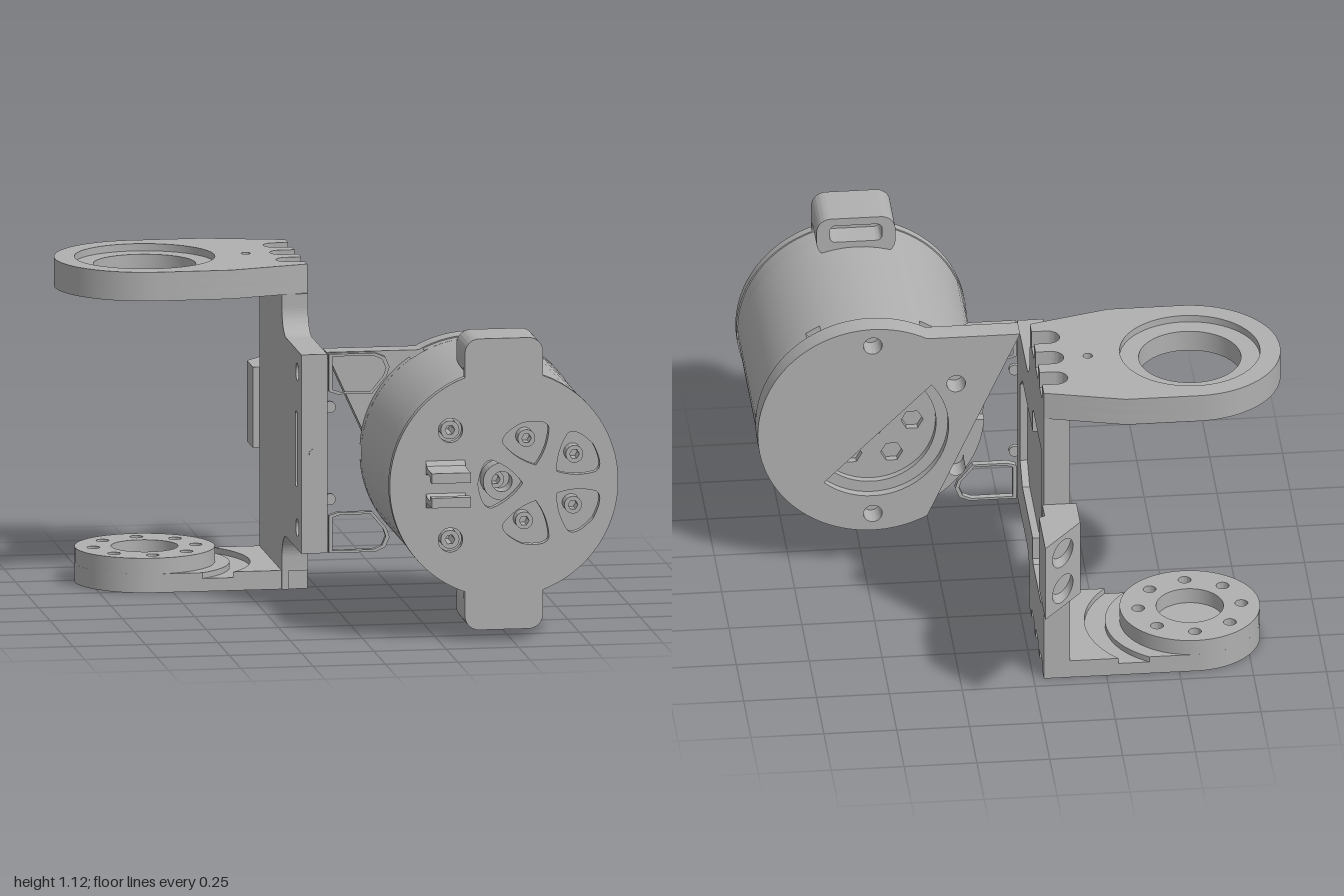
import * as THREE from 'three';
import { toCreasedNormals } from 'three/addons/utils/BufferGeometryUtils.js';

const PI = Math.PI;
const CX = 0.47, CY = 0.55, R = 0.395;   // motor axis and radius
const AX = -0.56, AV = 0.46;             // joint axis (x, -z)
const SLOTS = [0.6, 0.46, 0.32];         // screw slots along the arm ends (-z)

const poly = (pts, C = THREE.Shape) => new C(pts.map(p => new THREE.Vector2(...p)));
const disc = (x, y, r, C = THREE.Path) => new C().absarc(x, y, r, 0, 2 * PI, false);
const hex = (x, y, r) => poly([...Array(6).keys()].map(i =>
  [x + r * Math.cos(i * PI / 3), y + r * Math.sin(i * PI / 3)]), THREE.Path);
const ring = (n, x, y, r, a0, make) => [...Array(n).keys()].map(i =>
  make(x + r * Math.cos(a0 + i * 2 * PI / n), y + r * Math.sin(a0 + i * 2 * PI / n)));

// rectangle with rounded corners
function roundRect(x0, y0, x1, y1, r, C = THREE.Shape) {
  return new C().absarc(x1 - r, y0 + r, r, -PI / 2, 0, false).absarc(x1 - r, y1 - r, r, 0, PI / 2, false)
    .absarc(x0 + r, y1 - r, r, PI / 2, PI, false).absarc(x0 + r, y0 + r, r, PI, 1.5 * PI, false);
}

export function createModel() {
  const model = new THREE.Group();
  const gray = new THREE.MeshStandardMaterial({ color: 0xb0b0b0 });
  gray.name = 'machined gray';

  function add(name, geo, parent = model) {
    const mesh = new THREE.Mesh(toCreasedNormals(geo, 0.5), gray);
    mesh.name = name;
    parent.add(mesh);
    return mesh;
  }
  // extrude a shape from a to b along an axis: z (x,y), x (-z,y) or y (x,-z)
  function slab(name, axis, shape, a, b, holes = [], parent = model) {
    shape.holes.push(...holes);
    const geo = new THREE.ExtrudeGeometry(shape, { depth: b - a, bevelEnabled: false, curveSegments: 32 });
    geo.translate(0, 0, a);
    if (axis === 'x') geo.rotateY(PI / 2);
    if (axis === 'y') geo.rotateX(-PI / 2);
    return add(name, geo, parent);
  }
  const group = name => {
    const g = new THREE.Group();
    g.name = name;
    model.add(g);
    return g;
  };
  // walk down the straight end of an arm, cutting the screw slots
  const cutSlots = s => SLOTS.forEach(v => s.lineTo(-0.035, v + 0.042).lineTo(-0.085, v + 0.042)
    .absarc(-0.085, v, 0.042, PI / 2, 1.5 * PI, false).lineTo(-0.035, v - 0.042));
  const screwHoles = () => SLOTS.map(v => disc(-0.085, v, 0.022));

  // ---- upper arm
  const upper = group('upperArm');
  const upperShape = slots => {
    const s = new THREE.Shape().moveTo(-0.035, 0.225).lineTo(-0.31, 0.15).lineTo(AX, 0.15)
      .absarc(AX, AV, 0.31, -PI / 2, -1.5 * PI, true).lineTo(-0.31, 0.77).lineTo(-0.035, 0.70);
    if (slots) cutSlots(s);
    return s;
  };
  const pin = () => disc(-0.21, AV, 0.016);
  slab('upperArmBase', 'y', upperShape(false), 1.03, 1.07, [disc(AX, AV, 0.175), pin(), ...screwHoles()], upper);
  slab('upperArmMiddle', 'y', upperShape(true), 1.07, 1.105, [disc(AX, AV, 0.175), pin()], upper);
  slab('upperArmRim', 'y', upperShape(true), 1.105, 1.13, [disc(AX, AV, 0.24), pin()], upper);

  // ---- lower arm
  const lower = group('lowerArm');
  const lowerShape = slots => {
    const s = new THREE.Shape().moveTo(-0.035, 0.22).lineTo(AX, 0.22)
      .absarc(AX, AV, 0.24, -PI / 2, -1.5 * PI, true).lineTo(-0.035, 0.70);
    if (slots) cutSlots(s);
    return s;
  };
  slab('lowerArmUnderside', 'y', lowerShape(true), 0.005, 0.04,
    ring(6, AX, AV, 0.17, 0, (x, y) => disc(x, y, 0.03)), lower);
  slab('lowerArmFloor', 'y', lowerShape(false), 0.04, 0.05, [], lower);
  const a1 = Math.asin(0.24 / 0.29), a2 = Math.asin(0.24 / 0.36);
  slab('discSeat', 'y', new THREE.Shape().absarc(AX, AV, 0.29, -a1, a1, false)
    .absarc(AX, AV, 0.24, PI / 2, 1.5 * PI, false), 0.05, 0.07, [], lower);
  slab('lowerArmRoot', 'y', new THREE.Shape().moveTo(-0.035, 0.22).lineTo(-0.035, 0.70)
    .absarc(AX, AV, 0.36, a2, -a2, true), 0.05, 0.07, [], lower);
  slab('jointDisc', 'y', disc(AX, AV, 0.24, THREE.Shape), 0.07, 0.125,
    [disc(AX, AV, 0.115), ...ring(8, AX, AV, 0.177, PI / 2, (x, y) => disc(x, y, 0.022))], lower);

  // ---- upright plate, shallow recess on its outer side
  const plate = group('uprightPlate');
  const plateShape = () => new THREE.Shape().moveTo(0.70, 0.005).lineTo(0.70, 1.03).lineTo(0.21, 1.03)
    .lineTo(0.21, 0.985).absarc(0.12, 0.985, 0.09, 0, -PI / 2, true).lineTo(-0.21, 0.895)
    .lineTo(-0.21, 0.205).lineTo(0.12, 0.205).absarc(0.12, 0.115, 0.09, PI / 2, 0, true).lineTo(0.21, 0.005);
  const outerShape = () => new THREE.Shape().moveTo(0.70, 0.07).lineTo(0.70, 1.03).lineTo(0.21, 1.03)
    .lineTo(0.21, 0.985).absarc(0.12, 0.985, 0.09, 0, -PI / 2, true).lineTo(-0.21, 0.895)
    .lineTo(-0.21, 0.205).lineTo(0.12, 0.205).absarc(0.12, 0.115, 0.09, PI / 2, 0, true).lineTo(0.21, 0.07);
  slab('plateInner', 'x', plateShape(), -0.125, -0.1, [disc(-0.12, 0.28, 0.03), disc(-0.12, 0.82, 0.03),
    roundRect(-0.12, 0.42, -0.08, 0.68, 0.015, THREE.Path)], plate);
  slab('plateCore', 'x', outerShape(), -0.1, -0.06, [], plate);
  slab('plateOuter', 'x', outerShape(), -0.06, -0.035, [poly([[-0.11, 0.4], [-0.03, 0.34], [0.32, 0.34],
    [0.32, 0.26], [0.335, 0.245], [0.605, 0.245], [0.62, 0.26], [0.62, 0.84], [0.605, 0.855], [0.335, 0.855],
    [0.32, 0.84], [0.32, 0.76], [-0.03, 0.76], [-0.11, 0.7]], THREE.Path)], plate);
  slab('edgeScrew', 'z', disc(-0.08, 0.55, 0.018, THREE.Shape), 0.21, 0.213, [], plate);

  // ---- rear connector with a slanted, two-hole face
  const conn = group('rearConnector');
  slab('connectorBody', 'y', poly([[-0.03, 0.70], [-0.03, 0.775], [-0.01, 0.785], [-0.01, 0.936],
    [-0.147, 0.766], [-0.147, 0.70]]), 0.41, 0.69, [], conn);
  const face = new THREE.ExtrudeGeometry(
    Object.assign(poly([[-0.147, 0.41], [-0.01, 0.41], [-0.01, 0.69], [-0.147, 0.69]]), {
      holes: [0.48, 0.62].map(y => new THREE.Path().absellipse(-0.0785, y, 0.04, 0.05, 0, 2 * PI, false, 0)),
    }), { depth: 0.064, bevelEnabled: false, curveSegments: 24 });
  const p = face.attributes.position;
  for (let i = 0; i < p.count; i++) p.setZ(i, p.getZ(i) - 0.83 - 1.24 * (p.getX(i) + 0.147));
  face.computeVertexNormals();
  add('connectorFace', face, conn);

  // ---- motor mount flange
  const mount = group('motorMount');
  const am = Math.atan2(0.348, -0.187);
  slab('flange', 'z', new THREE.Shape().moveTo(-0.035, 0.202).absarc(CX, CY, R, -am, am, false)
    .lineTo(-0.035, 0.898), 0.11, 0.19, [disc(CX, CY, 0.26),
    ...ring(6, CX, CY, 0.33, PI / 6, (x, y) => disc(x, y, 0.032))], mount);
  slab('flangeStep', 'z', disc(CX, CY, 0.262, THREE.Shape), 0.14, 0.165, [disc(CX, CY, 0.22)], mount);
  slab('rotorBack', 'z', disc(CX, CY, 0.262, THREE.Shape), 0.165, 0.19, [hex(CX, CY, 0.055),
    ...ring(6, CX, CY, 0.14, 0, (x, y) => hex(x, y, 0.038))], mount);
  for (const s of [1, -1]) {
    const path = k => poly([[-0.03, 0.345], [0.13, 0.345], [0.165, 0.33], [0.18, 0.295], [0.17, 0.265],
      [0.12, 0.205], [0, 0.205], [-0.03, 0.215]].map(([x, d]) =>
      [0.07 + (x - 0.07) * k, CY + s * (0.275 + (d - 0.275) * k)]), k < 1 ? THREE.Path : THREE.Shape);
    slab('pocketFrame', 'z', path(1), 0.19, 0.212, [path(0.88)], mount);
    slab('smallBoss', 'z', disc(-0.025, CY + s * 0.16, 0.02, THREE.Shape), 0.19, 0.205, [], mount);
  }

  // ---- motor body with a notched collar
  const motor = group('motor');
  const collar = new THREE.Shape();
  for (let i = 0; i < 6; i++) {
    const a = i * PI / 3;
    collar.absarc(CX, CY, 0.34, a - 0.07, a + 0.07, false);
    collar.absarc(CX, CY, R - 0.004, a + 0.07, a + PI / 3 - 0.07, false);
  }
  slab('notchedCollar', 'z', collar, 0.19, 0.228, [], motor);
  slab('motorBody', 'z', disc(CX, CY, R - 0.004, THREE.Shape), 0.228, 0.76, [], motor);
  slab('motorWall', 'z', disc(CX, CY, R - 0.004, THREE.Shape), 0.76, 0.84, [disc(CX, CY, 0.365)], motor);
  slab('rotorHub', 'z', disc(CX, CY, 0.065, THREE.Shape), 0.76, 0.83, [disc(CX, CY, 0.035)], motor);
  ring(5, 0.6, CY, 0.15, 0.6, (x, y) => slab('rotorBolt', 'z', disc(x, y, 0.03, THREE.Shape), 0.76, 0.81,
    [hex(x, y, 0.017)], motor));

  // ---- front cap with ears and petal-shaped vents
  const cap = group('frontCap');
  const dy = Math.sqrt(R * R - 0.135 * 0.135), ae = Math.atan2(dy, 0.135);
  const capShape = new THREE.Shape().absarc(CX, CY, R, -ae, ae, false)
    .absarc(CX + 0.085, CY + 0.455, 0.05, 0, PI / 2, false)
    .absarc(CX - 0.085, CY + 0.455, 0.05, PI / 2, PI, false)
    .absarc(CX, CY, R, PI - ae, PI + ae, false)
    .absarc(CX - 0.085, CY - 0.455, 0.05, PI, 1.5 * PI, false)
    .absarc(CX + 0.085, CY - 0.455, 0.05, -PI / 2, 0, false);
  const petals = [0, 1, 2, 3, 4].map(i => {
    const at = (r, a) => [0.6 + r * Math.cos(a + PI * (0.2 + 0.4 * i)), CY + r * Math.sin(a + PI * (0.2 + 0.4 * i))];
    return new THREE.Path().moveTo(...at(0.065, 0)).quadraticCurveTo(...at(0.12, -0.5), ...at(0.19, -0.45))
      .quadraticCurveTo(...at(0.225, -0.4), ...at(0.22, 0)).quadraticCurveTo(...at(0.225, 0.4), ...at(0.19, 0.45))
      .quadraticCurveTo(...at(0.12, 0.5), ...at(0.065, 0));
  });
  slab('capPlate', 'z', capShape, 0.84, 0.872, [...petals, disc(0.285, 0.74, 0.042), disc(0.285, 0.36, 0.042)], cap);
  for (const s of [1, -1]) {
    slab('capScrew', 'z', disc(0.285, CY + s * 0.19, 0.032, THREE.Shape), 0.76, 0.862,
      [hex(0.285, CY + s * 0.19, 0.017)], cap);
    // ears, hollow towards the back
    const y0 = CY + s * 0.36, y1 = CY + s * 0.505;
    const ear = () => roundRect(CX - 0.135, Math.min(y0, y1), CX + 0.135, Math.max(y0, y1), 0.05);
    const h = CY + s * 0.445;
    slab('earShell', 'z', ear(), 0.685, 0.78, [roundRect(CX - 0.09, h - 0.032, CX + 0.09, h + 0.032, 0.02, THREE.Path)], cap);
    slab('earSolid', 'z', ear(), 0.78, 0.84, [], cap);
    // cable clips
    const clip = [[-0.865, 0.09], [-0.885, 0.065], [-0.91, 0.06], [-1, 0.06], [-1, 0.025], [-0.965, 0.025],
      [-0.955, 0.042], [-0.9, 0.042], [-0.865, 0.03]];
    slab('cableClip', 'x', poly(clip.map(([u, v]) => [u, 0.555 + s * v])), 0.2, 0.335, [], cap);
  }

  // ---- plug and pins under the lower ear
  const plug = group('plug');
  slab('plugHousing', 'z', roundRect(CX - 0.08, 0.078, CX + 0.08, 0.138, 0.01), 0.58, 0.8, [], plug);
  for (let i = 0; i < 4; i++) {
    const pinMesh = add('plugPin', new THREE.BoxGeometry(0.014, 0.014, 0.18), plug);
    pinMesh.position.set(CX - 0.054 + i * 0.036, 0.108, 0.5);
  }
  return model;
}
